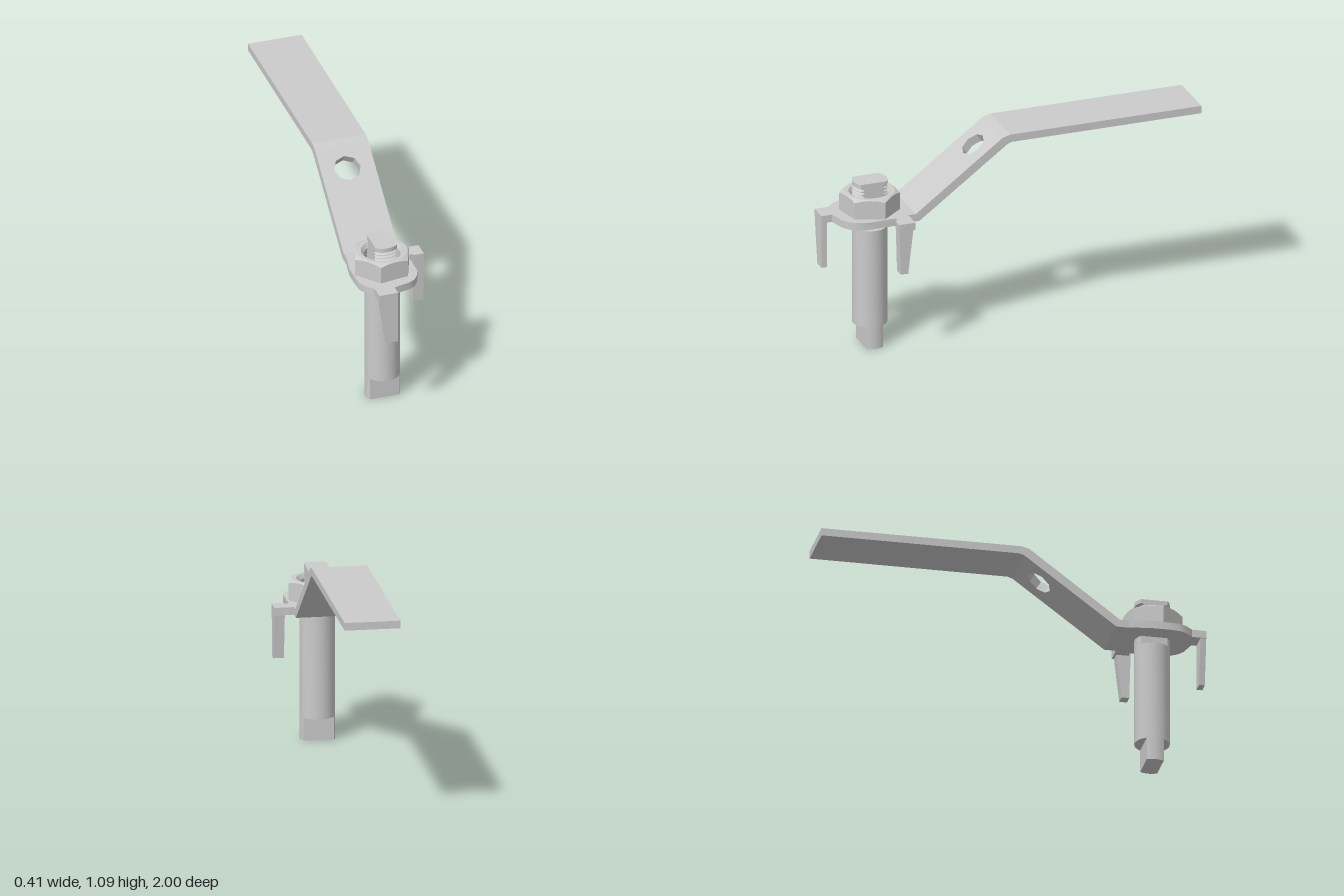
import * as THREE from 'three';
import { toCreasedNormals } from 'three/addons/utils/BufferGeometryUtils.js';

const CX = -0.045, CZ = 0.74;            // stem axis
const Y0 = 0.695, Y1 = 0.735;            // mounting plate bottom and top

export function createModel() {
  const root = new THREE.Group();
  const mat = new THREE.MeshStandardMaterial({ color: 0xcccccc });

  const add = (name, geo, parent = root) => {
    const mesh = new THREE.Mesh(toCreasedNormals(geo, 0.5), mat);
    mesh.name = name;
    parent.add(mesh);
    return mesh;
  };
  const shapeOf = pts => new THREE.Shape(pts.map(p => new THREE.Vector2(p[0], p[1])));
  const extrude = (shape, depth) => new THREE.ExtrudeGeometry(shape, { depth, bevelEnabled: false });

  // Move every vertex of a geometry by a rule
  const warp = (geo, rule) => {
    const p = geo.attributes.position, v = new THREE.Vector3();
    for (let i = 0; i < p.count; i++) {
      rule(v.fromBufferAttribute(p, i));
      p.setXYZ(i, v.x, v.y, v.z);
    }
    return geo;
  };

  // Mounting plate with rounded front and two tabs, outline in x, z
  const outline = [
    [-0.185, 0.59], [0.1, 0.59], [0.1, 0.585], [0.2, 0.585], [0.2, 0.66], [0.115, 0.66],
    [0.117, 0.82], [0.1, 0.865], [0.075, 0.9], [0.04, 0.922], [-0.045, 0.943],
    [-0.045, 1], [-0.145, 1], [-0.145, 0.925], [-0.18, 0.89], [-0.2, 0.85],
    [-0.205, 0.8], [-0.205, 0.7], [-0.195, 0.64],
  ];
  const plate = extrude(shapeOf(outline.map(([x, z]) => [x, -z])), Y1 - Y0);
  plate.rotateX(-Math.PI / 2).translate(0, Y0, 0);
  add('mountingPlate', plate);

  // Tapered stop legs hanging from the tabs
  const frontLeg = extrude(shapeOf([
    [-0.145, Y1], [-0.135, 0.65], [-0.105, 0.45], [-0.045, 0.45], [-0.045, Y1]]), 0.03);
  add('frontStopLeg', frontLeg.translate(0, 0, 0.97));
  const sideLeg = extrude(shapeOf([
    [-0.672, Y1], [-0.664, 0.46], [-0.624, 0.46], [-0.592, Y1]]), 0.055);
  add('leftStopLeg', sideLeg.rotateY(Math.PI / 2).translate(0.145, 0, 0));

  // Bent strip handle: mitred panels between stations (bottom z, y, top z, y)
  const handle = new THREE.Group();
  handle.name = 'handle';
  root.add(handle);
  const stations = [
    [0.59, Y0, 0.59, Y1], [0.525, Y0, 0.545, Y1], [0.05, 1.044, 0.075, 1.083],
    [0.025, 1.053, 0.035, 1.094], [-1, 1.052, -1, 1.092],
  ];
  const names = ['handleRoot', 'handleSlope', 'handleBend', 'handleGrip'];
  names.forEach((name, i) => {
    const a = stations[i], b = stations[i + 1];
    const shape = shapeOf([[-0.185, 0], [0.1, 0], [0.1, 1], [-0.185, 1]]);
    if (name === 'handleSlope') {
      // Octagonal hanging hole
      const hole = [];
      for (let k = 0; k < 8; k++) {
        const t = -k * Math.PI / 4;
        hole.push(new THREE.Vector2(CX + 0.07 * Math.cos(t), 0.775 + 0.115 * Math.sin(t)));
      }
      shape.holes.push(new THREE.Path(hole));
    }
    const geo = warp(extrude(shape, 1), v => {
      const at = k => THREE.MathUtils.lerp(a[k], b[k], v.y);
      const t = v.z;
      v.set(v.x, THREE.MathUtils.lerp(at(1), at(3), t), THREE.MathUtils.lerp(at(0), at(2), t));
    });
    add(name, geo, handle);
  });

  // Stem parts: turned profiles with two flats cut by clamping one axis
  const turned = (name, profile, axis, half) => {
    const geo = new THREE.LatheGeometry(profile.map(p => new THREE.Vector2(p[0], p[1])), 36);
    if (axis) warp(geo, v => { v[axis] = THREE.MathUtils.clamp(v[axis], -half, half); });
    add(name, geo).position.set(CX, 0, CZ);
  };
  const R = 0.09;
  turned('stemTang', [[0, 0], [R, 0], [R, 0.12], [0, 0.12]], 'z', 0.044);
  turned('stem', [[0, 0.12], [R, 0.12], [R, 0.65], [0, 0.65]]);
  const thread = [[0, 0.65], [R, 0.65], [R, 0.78]];
  for (let y = 0.79; y < 0.87; y += 0.018) {
    thread.push([R, y], [0.077, y + 0.007], [0.077, y + 0.009], [R, y + 0.016]);
  }
  thread.push([R, 0.9], [0, 0.9]);
  turned('threadedStemEnd', thread, 'x', 0.058);

  // Hex nut: polar rings, corners chamfered by a cone, countersunk bore
  const N = 72, top = 0.84, apothem = 0.134, pos = [], idx = [];
  for (let j = 0; j <= N; j++) {
    const t = j / N * Math.PI * 2;
    const sector = Math.PI / 3;
    const r = apothem / Math.cos((t % sector) - sector / 2);
    const angle = t - THREE.MathUtils.degToRad(10);
    const drop = 0.004 + (r - apothem) * 0.55;
    const ring = [[0.091, Y1], [r, Y1], [r, top - drop], [0.128, top],
      [0.107, top], [0.091, top - 0.02], [0.091, Y1]];
    for (const [q, y] of ring) pos.push(q * Math.cos(angle), y, q * Math.sin(angle));
    if (j === N) break;
    for (let k = 0; k < 6; k++) {
      const a = j * 7 + k, b = a + 7;
      idx.push(a, a + 1, b, b, a + 1, b + 1);
    }
  }
  const nut = new THREE.BufferGeometry();
  nut.setAttribute('position', new THREE.Float32BufferAttribute(pos, 3));
  nut.setIndex(idx);
  add('hexNut', nut).position.set(CX, 0, CZ);

  return root;
}
